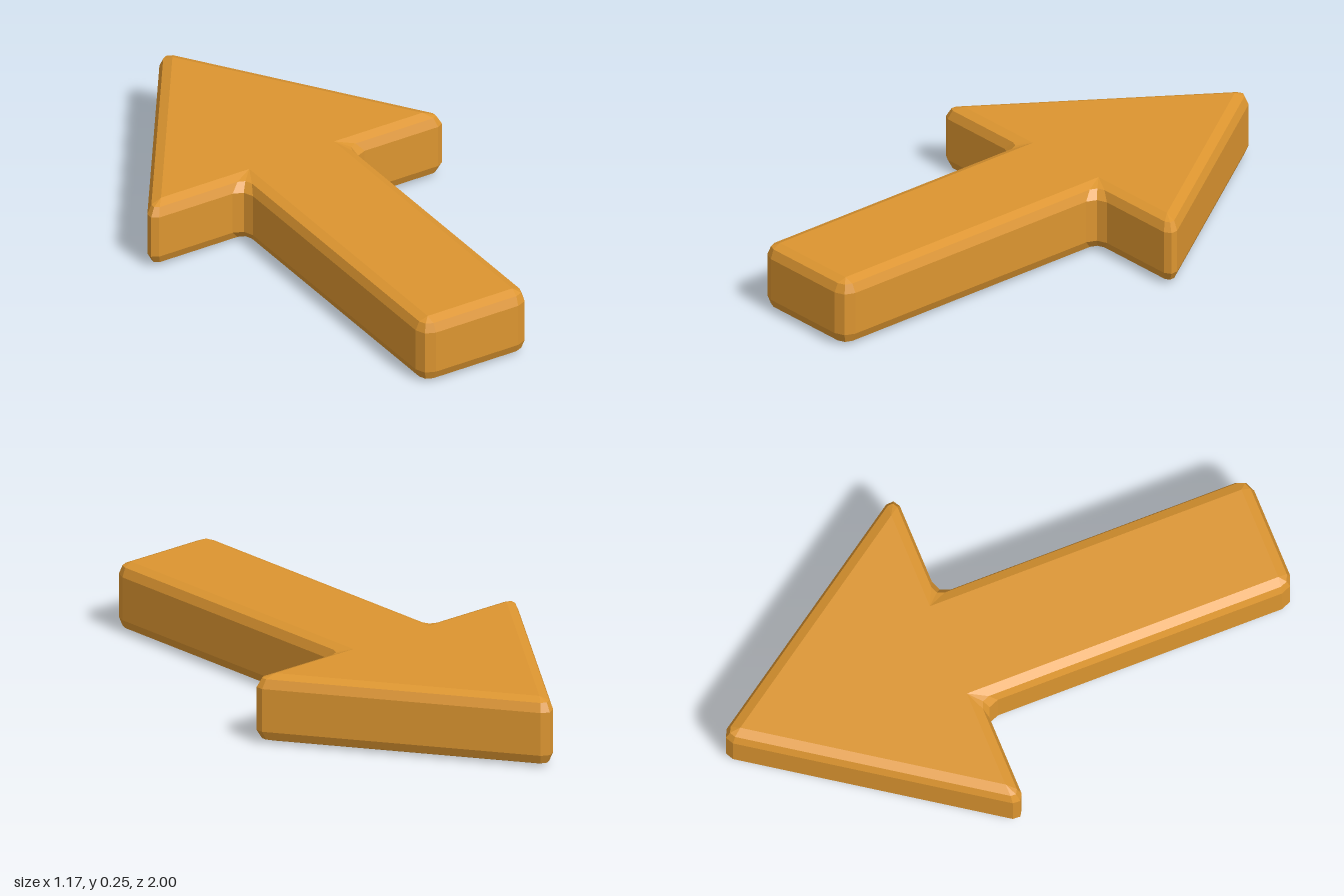
import * as THREE from 'three';

const BEVEL = 0.045;   // inset of the flat top and bottom
const ROUND = 0.05;    // how far each corner is cut back along its edges
const HEIGHT = 0.245;

// Sharp plan outline (x, z), counterclockwise seen from above
const OUTLINE = [
  [0, -1.026], [-0.61, -0.14], [-0.215, -0.14], [-0.215, 1],
  [0.215, 1], [0.215, -0.14], [0.61, -0.14],
].map(([x, z]) => new THREE.Vector2(x, z));

// For each corner: the inset point of the flat face and three points of the rounded edge
function makeCorners() {
  const n = OUTLINE.length;
  return OUTLINE.map((v, i) => {
    const toPrev = OUTLINE[(i + n - 1) % n].clone().sub(v).normalize();
    const toNext = OUTLINE[(i + 1) % n].clone().sub(v).normalize();
    const inA = new THREE.Vector2(-toPrev.y, toPrev.x);
    const inB = new THREE.Vector2(toNext.y, -toNext.x);
    const inset = v.clone().addScaledVector(inA.clone().add(inB), BEVEL / (1 + inA.dot(inB)));
    const half = Math.acos(toPrev.dot(toNext)) / 2;
    const middle = toPrev.clone().add(toNext).normalize();
    const cut = ROUND * (1 / Math.cos(half) - Math.tan(half));
    const rim = [
      v.clone().addScaledVector(toPrev, ROUND),
      v.clone().addScaledVector(middle, cut),
      v.clone().addScaledVector(toNext, ROUND),
    ];
    return { inset, rim };
  });
}

function makeArrowGeometry() {
  const corners = makeCorners();
  const positions = [];
  const triangle = (a, b, c) => {
    const area = b.clone().sub(a).cross(c.clone().sub(a)).length();
    if (area > 1e-8) for (const p of [a, b, c]) positions.push(p.x, p.y, p.z);
  };

  // Rings from bottom to top: height and how far out towards the rim
  const s = Math.SQRT1_2, low = BEVEL * (1 - s);
  const levels = [[0, 0], [low, s], [BEVEL, 1], [HEIGHT - BEVEL, 1], [HEIGHT - low, s], [HEIGHT, 0]];
  const rings = levels.map(([y, out]) => corners.flatMap(({ inset, rim }) =>
    rim.map((p) => {
      const q = inset.clone().lerp(p, out);
      return new THREE.Vector3(q.x, y, q.y);
    })));

  // Walls and bevels
  for (let k = 0; k < rings.length - 1; k++) {
    const a = rings[k], b = rings[k + 1];
    for (let i = 0; i < a.length; i++) {
      const j = (i + 1) % a.length;
      triangle(a[i], a[j], b[j]);
      triangle(a[i], b[j], b[i]);
    }
  }

  // Flat top and bottom
  for (const [a, b, c] of [[0, 1, 2], [0, 2, 5], [0, 5, 6], [2, 3, 4], [2, 4, 5]]) {
    const top = rings[rings.length - 1], bottom = rings[0];
    triangle(top[a * 3], top[b * 3], top[c * 3]);
    triangle(bottom[a * 3], bottom[c * 3], bottom[b * 3]);
  }

  const geometry = new THREE.BufferGeometry();
  geometry.setAttribute('position', new THREE.Float32BufferAttribute(positions, 3));
  geometry.computeVertexNormals(); // unshared corners keep every facet flat
  return geometry;
}

export function createModel() {
  const group = new THREE.Group();
  group.name = 'arrow';
  const amber = new THREE.MeshStandardMaterial({ color: 0xdc9530 });
  amber.name = 'amber';
  const body = new THREE.Mesh(makeArrowGeometry(), amber);
  body.name = 'arrowBody';
  group.add(body);
  return group;
}
